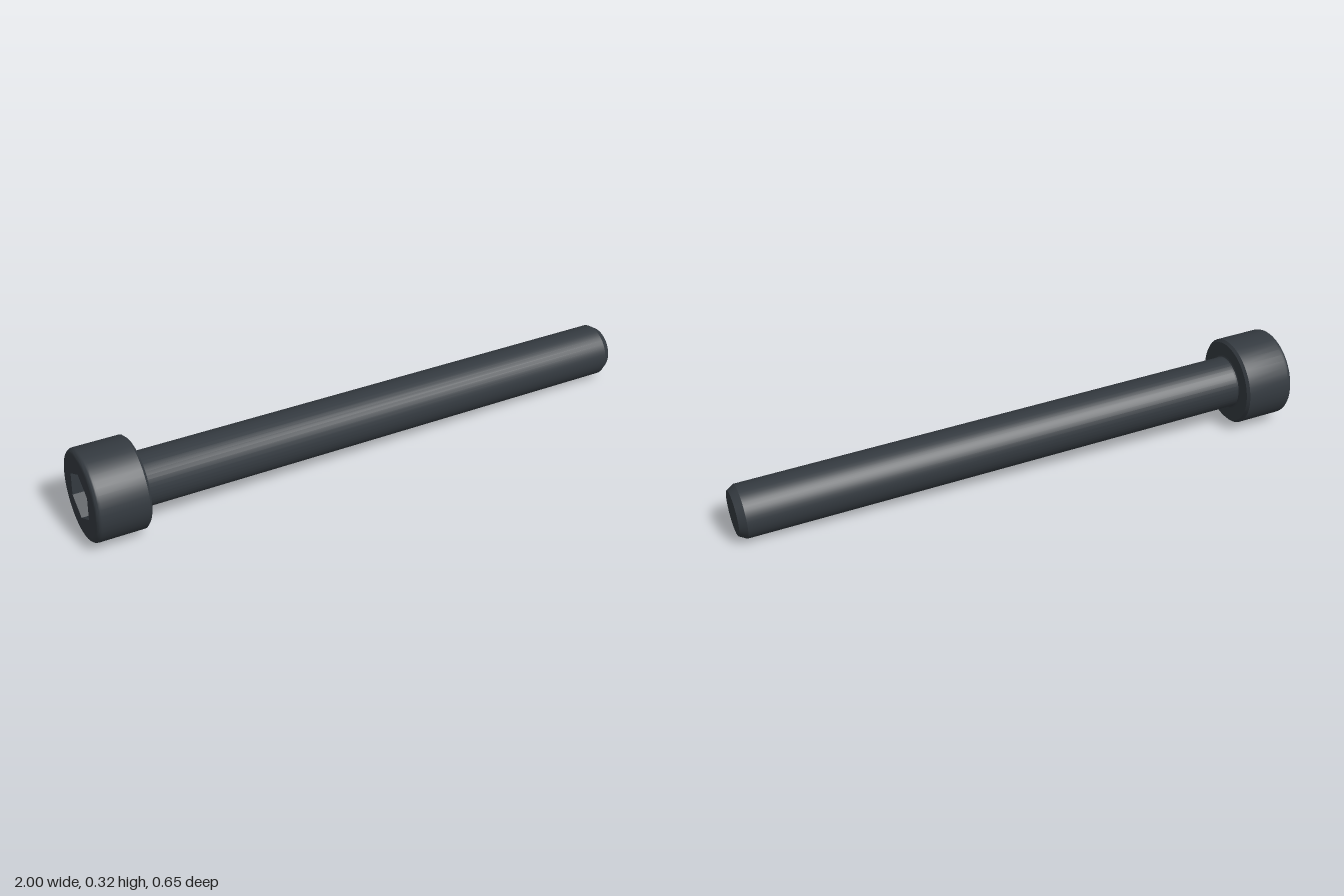
import * as THREE from 'three';
import { toCreasedNormals } from 'three/addons/utils/BufferGeometryUtils.js';

const SEG = 44;
const LENGTH = 2.0, HEAD_LEN = 0.182, HEAD_R = 0.1545, SHANK_R = 0.091;
const ROUND = 0.018, UNDER = 0.009, SOCKET_R = 0.084, SOCKET_DEPTH = 0.09;

// Lathe with smooth sides and crisp edges
function turned(points, segments = SEG, crease = 0.4) {
  const profile = points.map(([r, y]) => new THREE.Vector2(r, y));
  return toCreasedNormals(new THREE.LatheGeometry(profile, segments), crease);
}

// Regular polygon whose first corner matches the lathe seam
function polygon(radius, sides) {
  return Array.from({ length: sides }, (_, i) => {
    const a = (i / sides) * Math.PI * 2;
    return new THREE.Vector2(Math.sin(a) * radius, Math.cos(a) * radius);
  });
}

export function createModel() {
  const steel = new THREE.MeshStandardMaterial({ color: 0x343a40 });
  steel.name = 'black steel';
  const screw = new THREE.Group();
  screw.name = 'socketScrew';
  const add = (name, geometry) => {
    const mesh = new THREE.Mesh(geometry, steel);
    mesh.name = name;
    screw.add(mesh);
  };

  // Head: rounded drive edge, straight side, small chamfer underneath
  const head = [];
  for (let i = 0; i <= 6; i++) {
    const a = (i / 6) * Math.PI / 2;
    head.push([HEAD_R - ROUND + Math.sin(a) * ROUND, ROUND - Math.cos(a) * ROUND]);
  }
  head.push([HEAD_R, HEAD_LEN - UNDER], [HEAD_R - UNDER, HEAD_LEN], [SHANK_R, HEAD_LEN]);
  add('head', turned(head));

  // Drive face with a hexagonal opening
  const face = new THREE.Shape(polygon(HEAD_R - ROUND, SEG));
  face.holes.push(new THREE.Path(polygon(SOCKET_R, 6)));
  add('driveFace', new THREE.ShapeGeometry(face).rotateX(Math.PI / 2));

  // Hex socket: floor and six flat walls
  add('hexSocket', turned([[0, SOCKET_DEPTH], [SOCKET_R, SOCKET_DEPTH], [SOCKET_R, 0]], 6));

  // Shank: small fillet under the head, chamfered tip
  add('shank', turned([
    [SHANK_R + 0.007, HEAD_LEN], [SHANK_R + 0.002, HEAD_LEN + 0.002], [SHANK_R, HEAD_LEN + 0.007],
    [SHANK_R, LENGTH - 0.025], [SHANK_R - 0.015, LENGTH], [0, LENGTH],
  ]));

  // Lay the screw down, resting on the head rim and the tip
  const start = new THREE.Vector3(-0.971, 0.163, -0.177);
  const axis = new THREE.Vector3(0.984, 0.0915, 0.24).sub(start).normalize();
  const side = new THREE.Vector3().crossVectors(axis, new THREE.Vector3(0, 1, 0)).normalize();
  const up = new THREE.Vector3().crossVectors(side, axis);
  screw.quaternion.setFromRotationMatrix(new THREE.Matrix4().makeBasis(side, axis, up));
  screw.position.copy(start);

  const model = new THREE.Group();
  model.name = 'screwModel';
  model.add(screw);
  return model;
}
